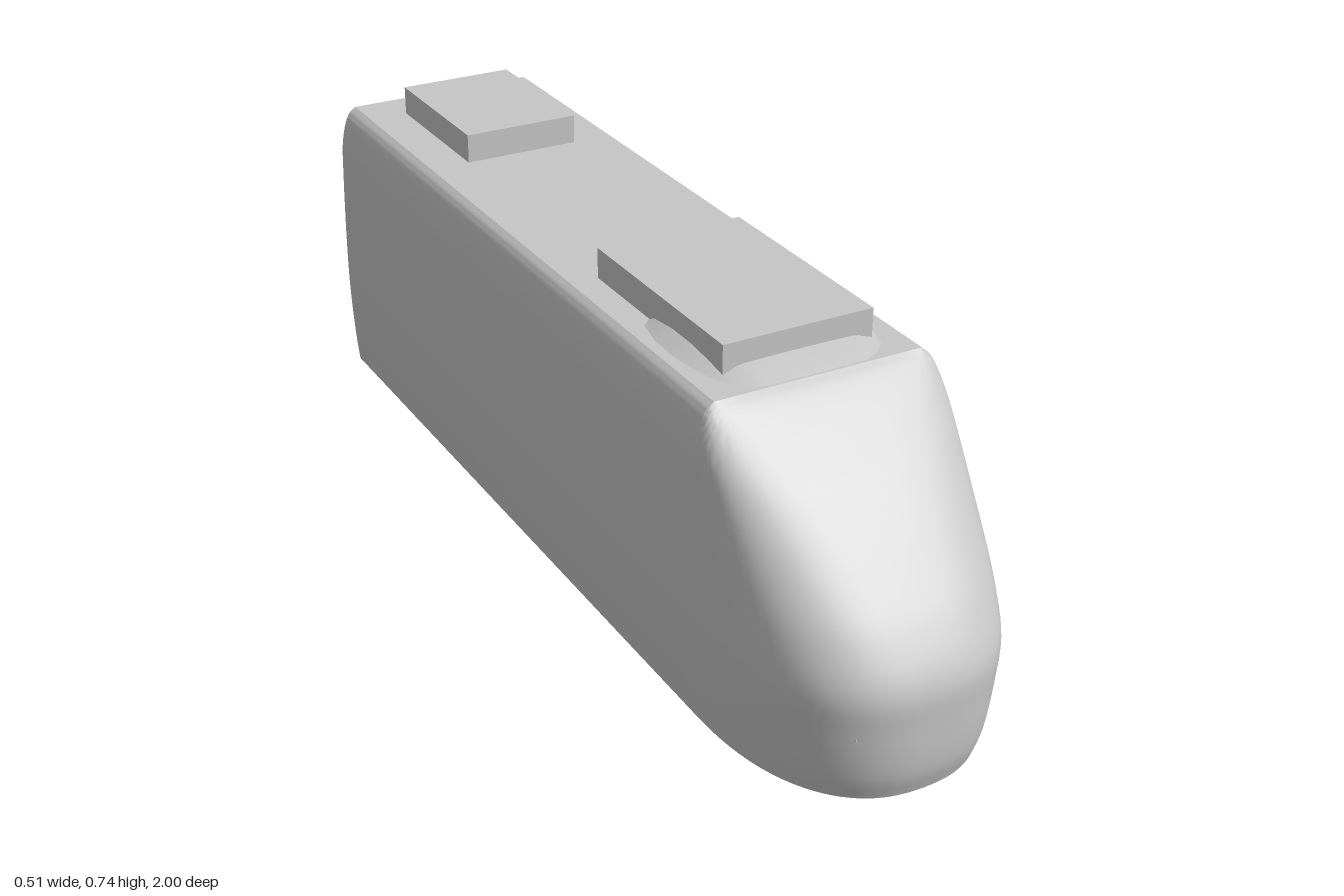
import * as THREE from 'three';
import { toCreasedNormals } from 'three/addons/utils/BufferGeometryUtils.js';

const grey = new THREE.MeshStandardMaterial({ color: 0xc6c6c6 });
grey.name = 'bodyGrey';

const JOINT = 0.61; // z where the nose meets the straight body
const FLOOR = 0.05;

// Half width, height and furthest z of the nose, from the floor up to the roof.
const profile = [
  [0.24, 0.05, 0.98], [0.245, 0.1, 0.995], [0.251, 0.2, 1], [0.253, 0.27, 0.997],
  [0.253, 0.35, 0.95], [0.252, 0.42, 0.89], [0.249, 0.535, 0.78], [0.246, 0.595, 0.715],
  [0.237, 0.64, 0.664], [0.225, 0.667, 0.63], [0.21, 0.679, 0.61],
].map((p) => new THREE.Vector3(...p));
const rows = new THREE.CatmullRomCurve3(profile).getPoints(40);

// Skin over a grid of points; faces look along (row direction) x (column direction).
function skin(grid, crease) {
  const cols = grid[0].length;
  const index = [];
  for (let i = 0; i < grid.length - 1; i++) {
    for (let j = 0; j < cols - 1; j++) {
      const a = i * cols + j, c = a + cols;
      index.push(a, c, a + 1, a + 1, c, c + 1);
    }
  }
  const geo = new THREE.BufferGeometry();
  geo.setAttribute('position', new THREE.Float32BufferAttribute(grid.flat(2), 3));
  geo.setIndex(index);
  return toCreasedNormals(geo, crease);
}

function bodyGeometry() {
  const shape = new THREE.Shape();
  rows.forEach((p, i) => (i ? shape.lineTo(p.x, p.y) : shape.moveTo(p.x, p.y)));
  [...rows].reverse().forEach((p) => shape.lineTo(-p.x, p.y));
  const geo = new THREE.ExtrudeGeometry(shape, { depth: 1 + JOINT, bevelEnabled: false });
  geo.translate(0, 0, -1);
  return toCreasedNormals(geo, 0.6);
}

function noseGeometry() {
  // Each level is half a superellipse, squarer towards the roof.
  const level = (p) => {
    const e = 2 / THREE.MathUtils.mapLinear(p.y, 0.05, 0.68, 2.35, 3.4);
    return Array.from({ length: 41 }, (_, j) => {
      const t = (j / 40) * Math.PI, c = Math.cos(t);
      const s = Math.max(0, Math.sin(t));
      return [p.x * Math.sign(c) * Math.abs(c) ** e, p.y, JOINT + (p.z - JOINT) * (j === 40 ? 0 : s ** e)];
    });
  };
  const floor = Array.from({ length: 41 }, () => [0, FLOOR, JOINT]);
  return skin([floor, ...rows.map(level)], 0.6);
}

function fairingGeometry() {
  // z, half width, height of each cross-section
  const stations = [
    [0.255, 0.15, 0.675], [0.275, 0.17, 0.69], [0.3, 0.183, 0.707], [0.36, 0.195, 0.712],
    [0.43, 0.197, 0.711], [0.5, 0.19, 0.704], [0.56, 0.175, 0.693], [0.605, 0.15, 0.679],
  ];
  const across = [[-1, 0], [-0.82, 0.45], [-0.69, 0.84], [-0.62, 0.93], [-0.35, 0.98], [0, 1],
    [0.35, 0.98], [0.62, 0.93], [0.69, 0.84], [0.82, 0.45], [1, 0]];
  return skin(stations.map(([z, w, h]) =>
    across.map(([x, y]) => [x * w, 0.675 + (h - 0.675) * y, z])), 0.6);
}

export function createModel() {
  const model = new THREE.Group();
  model.name = 'railcar';
  const add = (name, geo, x = 0, y = 0, z = 0) => {
    const mesh = new THREE.Mesh(geo, grey);
    mesh.name = name;
    mesh.position.set(x, y, z);
    model.add(mesh);
    return mesh;
  };

  add('body', bodyGeometry());
  add('nose', noseGeometry());
  add('roofFairing', fairingGeometry());

  // Roof equipment boxes
  add('frontRoofBox', new THREE.BoxGeometry(0.306, 0.062, 0.46), 0, 0.709, 0.31);
  add('rearRoofBox', new THREE.BoxGeometry(0.25, 0.062, 0.34), 0, 0.709, -0.737);

  // Undercarriage plate, wheels and headlights
  add('bogiePlate', new THREE.BoxGeometry(0.346, 0.004, 0.35), 0, 0.05, 0.503);
  const wheel = toCreasedNormals(
    new THREE.CylinderGeometry(0.055, 0.055, 0.02, 8).rotateZ(Math.PI / 2), 0.3);
  const lamp = new THREE.CylinderGeometry(0.005, 0.005, 0.02, 12).rotateX(Math.PI / 2);
  for (const side of [1, -1]) {
    for (const z of [0.675, 0.33]) add('wheel', wheel, side * 0.145, 0.055, z);
    add('headlight', lamp, side * 0.133, 0.19, 0.957);
  }
  return model;
}
